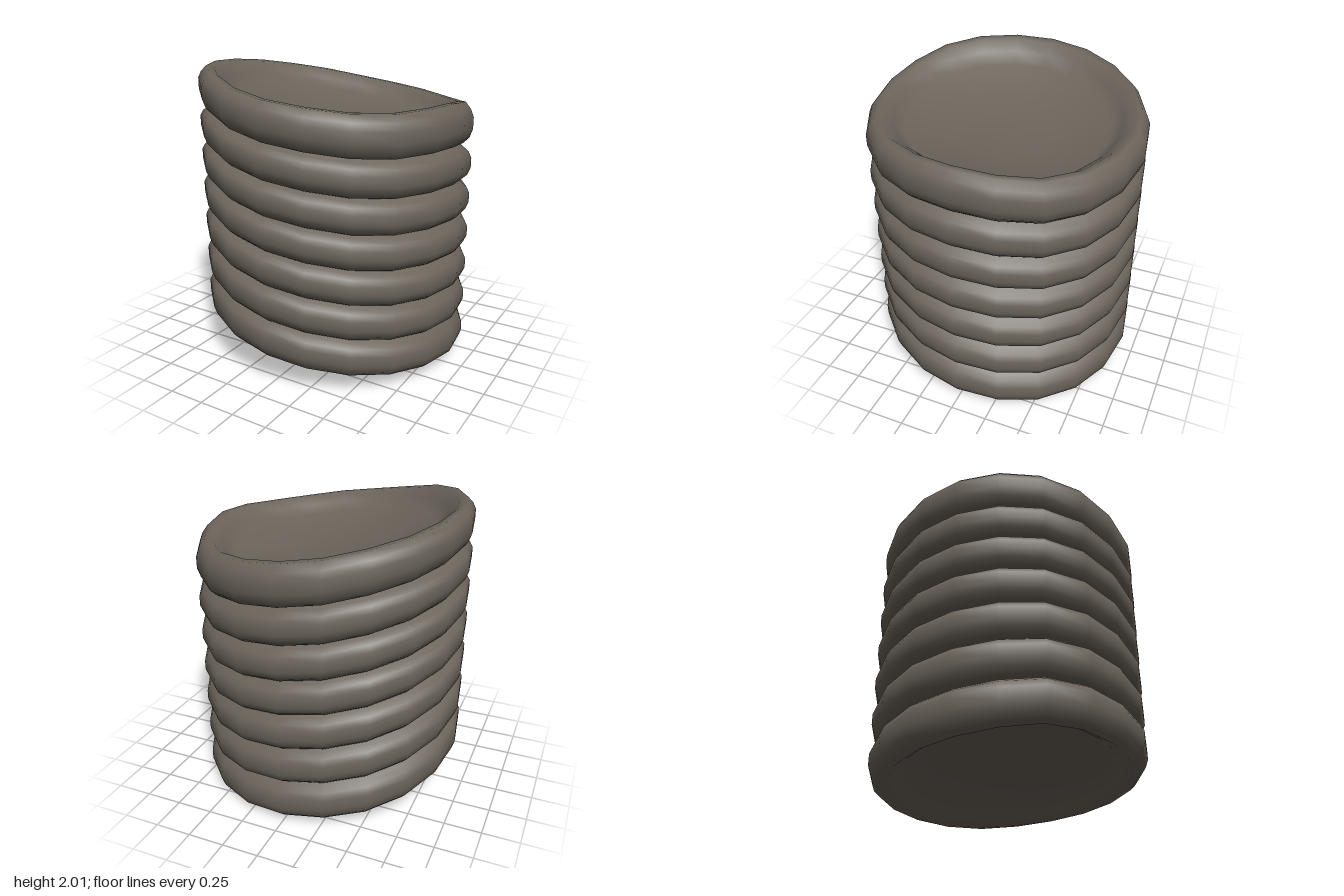
import * as THREE from 'three';
import { mergeVertices } from 'three/addons/utils/BufferGeometryUtils.js';

const SIDES = 20;

// Height offsets every 45 degrees, from the front towards +x, at the bottom and top
const WAVE_BOTTOM = [0.025, 0.01, 0.01, -0.005, 0, -0.015, 0, 0.05];
const WAVE_TOP = [-0.03, -0.05, -0.01, -0.055, -0.03, -0.01, 0, 0.015];

function wave(offsets, angle) {
  const s = ((angle / (Math.PI / 4)) + 8) % 8;
  const i = Math.floor(s), f = s - i;
  return THREE.MathUtils.lerp(offsets[i % 8], offsets[(i + 1) % 8], f * f * (3 - 2 * f));
}

// Tilt and ripple every level of the stack; both change from bottom to top
function warp(geometry) {
  const p = geometry.attributes.position;
  for (let i = 0; i < p.count; i++) {
    const x = p.getX(i), y = p.getY(i), z = p.getZ(i);
    const t = THREE.MathUtils.clamp(y / 1.9, 0, 1);
    const slopeX = -0.09 - 0.11 * t * (1 - t) - 0.012 * t;
    const slopeZ = THREE.MathUtils.lerp(0.095, 0.05, t);
    const saddle = THREE.MathUtils.lerp(0.008, 0.03, t);
    const angle = Math.atan2(x, z);
    const ripple = THREE.MathUtils.lerp(wave(WAVE_BOTTOM, angle), wave(WAVE_TOP, angle), t);
    const r = Math.min(1, Math.hypot(x, z) / 0.85);
    p.setY(i, y + slopeX * x + slopeZ * z + saddle * (x * x - z * z) + ripple * r * r);
  }
}

// Smooth lathed band from a bottom-to-top profile
function band(points, material, name) {
  let g = new THREE.LatheGeometry(points.map(([r, y]) => new THREE.Vector2(r, y)), SIDES);
  g.deleteAttribute('uv');
  g.deleteAttribute('normal');
  g = mergeVertices(g, 1e-4);
  warp(g);
  g.computeVertexNormals();
  const mesh = new THREE.Mesh(g, material);
  mesh.name = name;
  return mesh;
}

export function createModel() {
  const group = new THREE.Group();
  group.name = 'ribbedSleeve';
  const rubber = new THREE.MeshStandardMaterial({ color: 0x6b645b });
  rubber.name = 'darkTaupe';

  // Heights of the grooves between the seven ribs
  const levels = [0.115, 0.388, 0.642, 0.888, 1.128, 1.366, 1.61, 1.89];
  const last = levels.length - 2;

  for (let i = 0; i <= last; i++) {
    const y0 = levels[i], y1 = levels[i + 1], h = y1 - y0;
    const at = (r, f) => [r, y0 + f * h];
    const profile = [];

    // Hollow underside on the lowest rib, plain groove on the others
    if (i === 0) profile.push([0, y0 + 0.21], [0.35, y0 + 0.19], [0.68, y0 + 0.12], [0.75, y0 + 0.05], [0.82, y0]);
    else profile.push(at(0.8, 0.06));

    // Rounded outer wall
    profile.push(at(0.87, 0.03), at(0.907, 0.17), at(0.927, 0.38), at(0.927, 0.65), at(0.907, 0.82));

    // Dish on the highest rib, sloped shoulder on the others
    if (i === last) profile.push([0.87, y1 - 0.005], [0.82, y1 - 0.01], [0.75, y1 - 0.07], [0.68, y1 - 0.14], [0.35, y1 - 0.21], [0, y1 - 0.23]);
    else profile.push(at(0.87, 0.93), at(0.8, 1.07));

    const name = i === 0 ? 'bottomRib' : i === last ? 'topRib' : 'rib' + i;
    group.add(band(profile, rubber, name));
  }
  return group;
}
